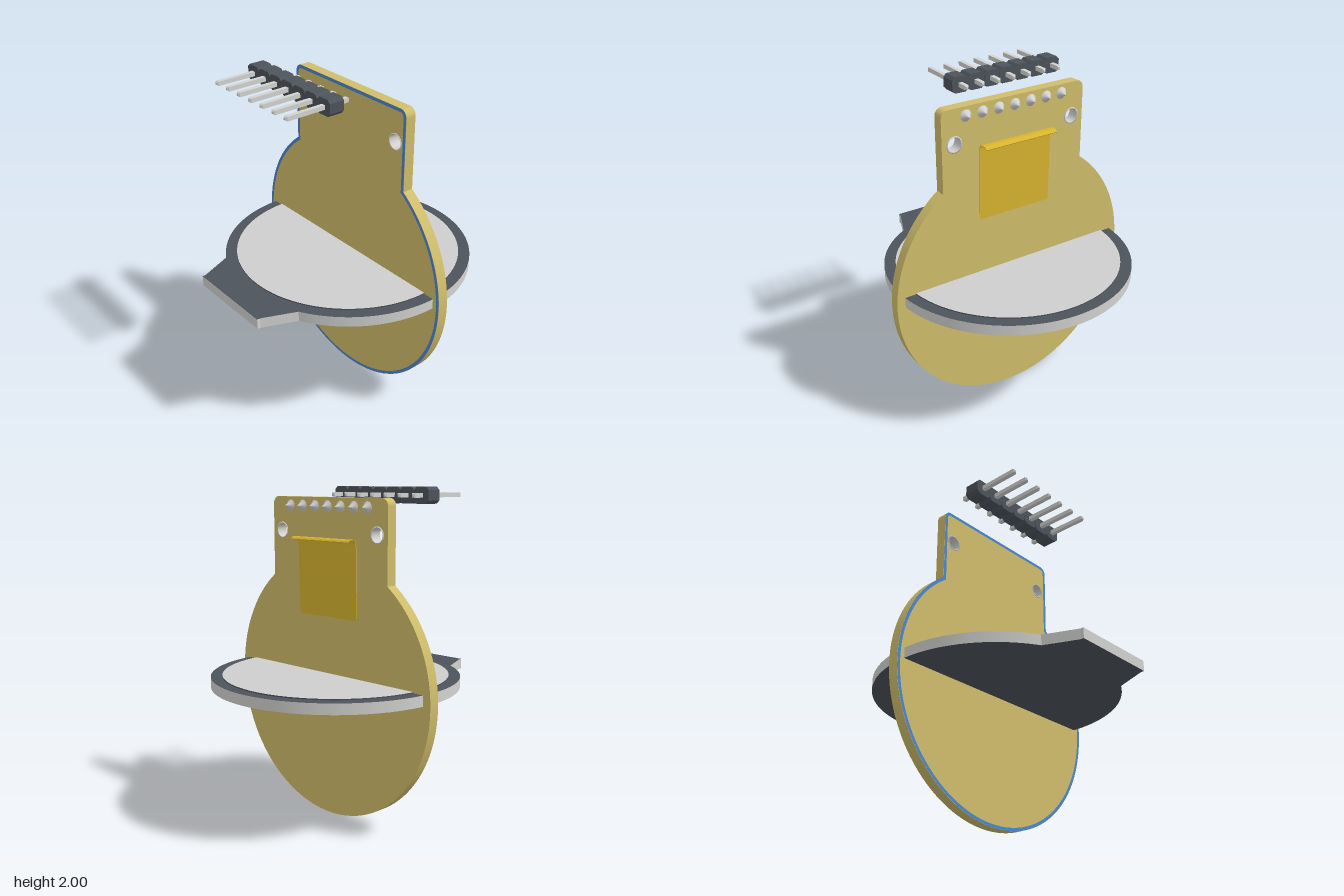
import * as THREE from 'three';

const mat = (name, color) => {
  const m = new THREE.MeshStandardMaterial({ color });
  m.name = name;
  return m;
};

const BACK = -0.132, FRONT = -0.066; // faces of the upright board

// Round board with a rectangular neck; inset shrinks the outline evenly
function boardOutline(inset, Type = THREE.Shape) {
  const R = 0.805 - inset, hw = 0.48 - inset, top = 1.94 - inset, r = 0.045 - inset, cy = 0.81;
  const a = Math.acos(hw / R);
  const s = new Type();
  s.moveTo(hw, cy + R * Math.sin(a));
  s.lineTo(hw, top - r);
  s.absarc(hw - r, top - r, r, 0, Math.PI / 2, false);
  s.absarc(-hw + r, top - r, r, Math.PI / 2, Math.PI, false);
  s.absarc(0, cy, R, Math.PI - a, 2 * Math.PI + a, false);
  return s;
}

export function createModel() {
  const group = new THREE.Group();
  const gold = mat('boardGold', 0xd0bd6b);
  const blue = mat('edgeBlue', 0x4a86d0);
  const dark = mat('darkGrey', 0x4d535b);
  const pale = mat('screenGrey', 0xcdcdcd);
  const silver = mat('silver', 0xd2d2d0);
  const yellow = mat('cableYellow', 0xd8b52e);

  const add = (name, geometry, material, parent = group) => {
    const mesh = new THREE.Mesh(geometry, material);
    mesh.name = name;
    parent.add(mesh);
    return mesh;
  };
  const sub = (name) => {
    const g = new THREE.Group();
    g.name = name;
    group.add(g);
    return g;
  };

  // Circuit board with two mounting holes
  const board = boardOutline(0);
  for (const x of [-0.4, 0.4]) {
    const hole = new THREE.Path();
    hole.absarc(x, 1.735, 0.047, 0, Math.PI * 2, true);
    board.holes.push(hole);
  }
  const boardGeo = new THREE.ExtrudeGeometry(board, { depth: FRONT - BACK, bevelEnabled: false, curveSegments: 72 });
  boardGeo.translate(0, 0, BACK);
  add('board', boardGeo, gold);

  // Blue line around the front face
  const line = boardOutline(0);
  line.holes.push(boardOutline(0.02, THREE.Path));
  add('frontOutline', new THREE.ShapeGeometry(line, 72), blue).position.z = FRONT + 0.002;

  // Metal linings of the mounting holes
  const half = (FRONT - BACK) / 2 + 0.002;
  const ring = [[0.043, -half], [0.05, -half], [0.05, half], [0.043, half], [0.043, -half]]
    .map(([x, y]) => new THREE.Vector2(x, y));
  for (const x of [-0.4, 0.4]) {
    const lining = add('holeLining', new THREE.LatheGeometry(ring, 32), silver);
    lining.rotation.x = Math.PI / 2;
    lining.position.set(x, 1.735, (FRONT + BACK) / 2);
  }

  // Solder points: concave cones on the back
  const solder = sub('solderPoints');
  const cone = [[0.035, 0], [0.023, 0.009], [0.013, 0.022], [0.006, 0.036], [0, 0.047]]
    .map(([x, y]) => new THREE.Vector2(x, y));
  const coneGeo = new THREE.LatheGeometry(cone, 20);
  coneGeo.rotateX(-Math.PI / 2);
  for (let i = -3; i <= 3; i++) {
    add('solderPoint', coneGeo, silver, solder).position.set(i * 0.1077, 1.887, BACK);
  }

  // Level display disc with a connector tab towards the front
  const b = Math.atan2(0.661, 0.365);
  const disc = new THREE.Shape();
  disc.moveTo(-0.28, -0.815);
  disc.lineTo(0.28, -0.815);
  disc.lineTo(0.28, -0.795);
  disc.lineTo(0.365, -0.594);
  disc.absarc(0, 0.067, 0.755, -b, Math.PI + b, false);
  disc.lineTo(-0.28, -0.795);
  const discGeo = new THREE.ExtrudeGeometry(disc, { depth: 0.064, bevelEnabled: false, curveSegments: 96 });
  discGeo.rotateX(-Math.PI / 2);
  add('displayDisc', discGeo, [dark, silver]).position.y = 0.818;

  // Raised screen: pale top, dark rim
  add('screen', new THREE.CylinderGeometry(0.686, 0.686, 0.007, 96), [dark, pale, dark])
    .position.set(0, 0.8855, -0.067);

  // Pin header: seven cut-corner blocks, each with a tapered square pin
  const header = sub('pinHeader');
  const w = 0.0535, h = 0.048, c = 0.018;
  const block = new THREE.Shape([
    [-w, -h + c], [-w + c, -h], [w - c, -h], [w, -h + c],
    [w, h - c], [w - c, h], [-w + c, h], [-w, h - c],
  ].map(([x, y]) => new THREE.Vector2(x, y)));
  const blockGeo = new THREE.ExtrudeGeometry(block, { depth: 0.096, bevelEnabled: false });
  const p = 0.006;
  const square = new THREE.Shape([[-p, -p], [p, -p], [p, p], [-p, p]].map(([x, y]) => new THREE.Vector2(x, y)));
  const pinGeo = new THREE.ExtrudeGeometry(square, {
    depth: 0.41, bevelThickness: 0.009, bevelSize: 0.007, bevelSegments: 1,
  });
  for (let i = 0; i < 7; i++) {
    const x = -0.47 + i * 0.1077;
    add('headerBlock', blockGeo, dark, header).position.set(x, 1.952, 0.157);
    add('headerPin', pinGeo, silver, header).position.set(x, 1.952, 0.091);
  }

  // Ribbon cable rising from the back and curling away at its top
  const curve = new THREE.SplineCurve([
    [-0.131, 1.235], [-0.136, 1.45], [-0.139, 1.64], [-0.143, 1.69], [-0.155, 1.702], [-0.19, 1.702], [-0.207, 1.69],
  ].map(([z, y]) => new THREE.Vector2(z, y)));
  const near = [], far = [];
  for (let i = 0; i <= 40; i++) {
    const q = curve.getPoint(i / 40), t = curve.getTangent(i / 40);
    near.push(new THREE.Vector2(q.x + t.y * 0.002, q.y - t.x * 0.002));
    far.unshift(new THREE.Vector2(q.x - t.y * 0.002, q.y + t.x * 0.002));
  }
  const cableGeo = new THREE.ExtrudeGeometry(new THREE.Shape([...near, ...far]), { depth: 0.486, bevelEnabled: false });
  cableGeo.rotateY(-Math.PI / 2);
  add('ribbonCable', cableGeo, yellow).position.x = 0.243;

  return group;
}
